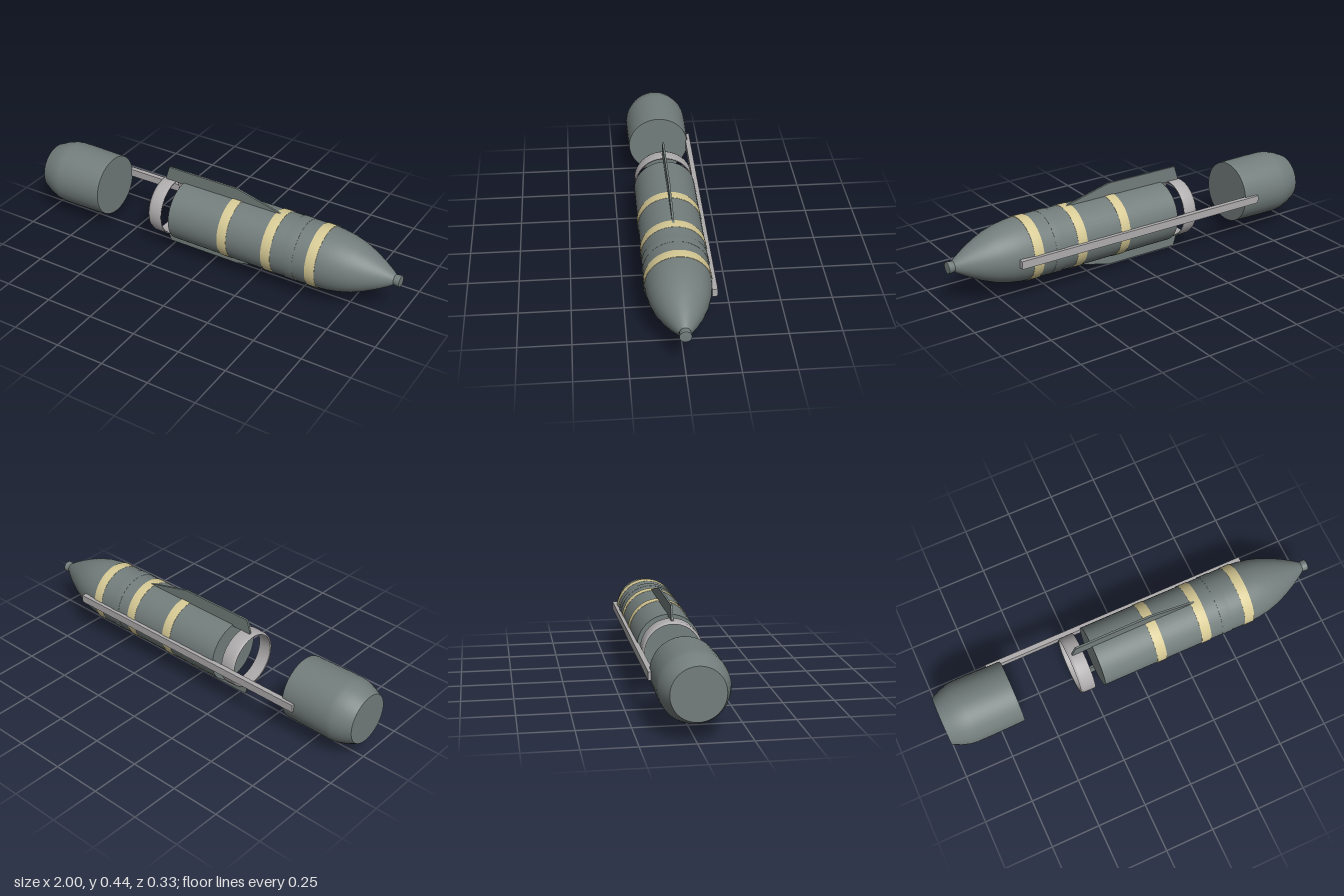
import * as THREE from 'three';

const AXIS_Y = 0.22, AXIS_Z = 0.004, SEGMENTS = 48;

export function createModel() {
  const model = new THREE.Group();
  model.name = 'bomb';
  const material = (name, color, side = THREE.FrontSide) => {
    const m = new THREE.MeshStandardMaterial({ color, side });
    m.name = name;
    return m;
  };
  const casing = material('grey green casing', 0x737e7c);
  const gold = material('pale gold', 0xd8cb96);
  const metal = material('light metal', 0xb0adae, THREE.DoubleSide);

  const add = (name, geometry, mat) => {
    const mesh = new THREE.Mesh(geometry, mat);
    mesh.name = name;
    model.add(mesh);
    return mesh;
  };
  // Turned part along x; profile is [x, radius] from tail to nose
  const turned = (name, profile, mat) => {
    const points = profile.map(([x, r]) => new THREE.Vector2(r, x));
    const geometry = new THREE.LatheGeometry(points, SEGMENTS);
    geometry.rotateZ(-Math.PI / 2);
    geometry.translate(0, AXIS_Y, AXIS_Z);
    return add(name, geometry, mat);
  };

  // Main body with its end plate
  turned('body', [[-0.195, 0.155], [0.6, 0.156]], casing);
  turned('bodyEndPlate', [[-0.195, 0], [-0.195, 0.155]], casing);

  // Rounded nose and blunt fuze tip
  turned('nose', [[0.6, 0.156], [0.66, 0.152], [0.72, 0.142], [0.78, 0.125],
    [0.84, 0.1], [0.9, 0.069], [0.945, 0.042], [0.968, 0.026]], casing);
  turned('noseTip', [[0.96, 0.025], [0.972, 0.026], [0.985, 0.028], [0.998, 0.028]], casing);
  turned('noseTipCap', [[0.998, 0.028], [1, 0.025], [1, 0]], casing);

  // Painted bands
  for (const x of [0.115, 0.36, 0.598]) {
    turned('band', [[x - 0.025, 0.155], [x - 0.025, 0.158], [x + 0.025, 0.158], [x + 0.025, 0.155]], gold);
  }
  // Shallow collar between the front bands
  turned('collar', [[0.45, 0.155], [0.45, 0.158], [0.505, 0.158], [0.505, 0.155]], casing);

  // Separate tail cap
  turned('tailCap', [[-1, 0.124], [-0.955, 0.145], [-0.91, 0.159], [-0.88, 0.162],
    [-0.8, 0.162], [-0.64, 0.159], [-0.628, 0.157]], casing);
  turned('tailCapBack', [[-1, 0], [-1, 0.124]], casing);
  turned('tailCapFront', [[-0.628, 0.157], [-0.628, 0]], casing);

  // Open ring held behind the body by the fins
  turned('tailRing', [[-0.318, 0.135], [-0.32, 0.141], [-0.305, 0.147], [-0.245, 0.148],
    [-0.245, 0.14], [-0.305, 0.138], [-0.318, 0.135]], metal);

  // Top and bottom fins
  for (const s of [1, -1]) {
    const outline = [[-0.3, 0.145], [0.36, 0.145], [0.36, 0.157], [0.115, 0.219],
      [-0.28, 0.219], [-0.3, 0.157]].map(([x, y]) => new THREE.Vector2(x, s * y));
    const geometry = new THREE.ExtrudeGeometry(new THREE.Shape(outline), { depth: 0.01, bevelEnabled: false });
    geometry.translate(0, AXIS_Y, AXIS_Z - 0.005);
    add(s > 0 ? 'topFin' : 'bottomFin', geometry, casing);
  }

  // Long side rail joining body and tail cap
  add('rail', new THREE.BoxGeometry(1.4, 0.04, 0.025), metal).position.set(0, AXIS_Y, -0.1565);

  return model;
}
